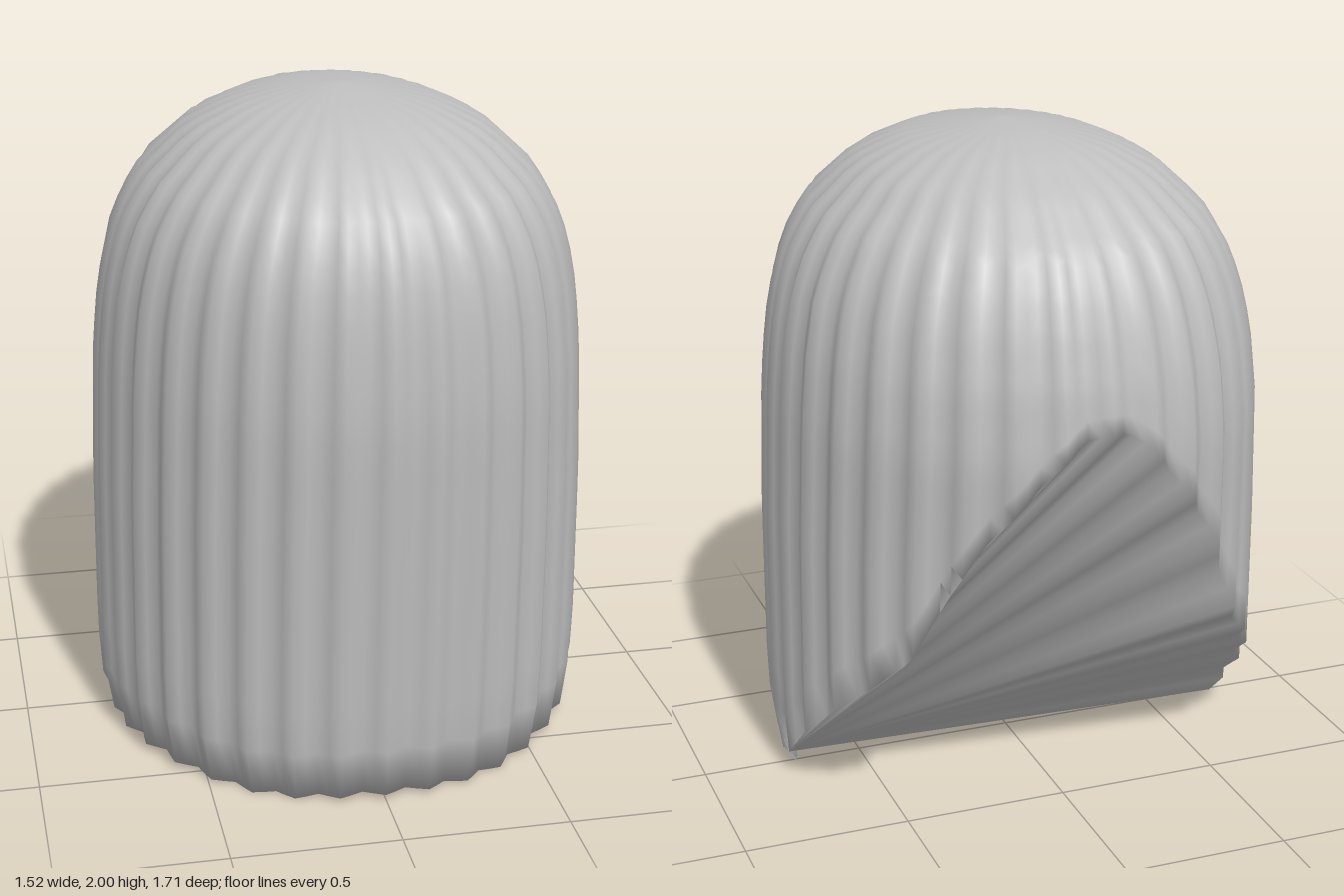
import * as THREE from 'three';

const RIBS = 34, COLS = RIBS * 4, ROWS = 26;

// Piecewise linear lookup in [input, output...] rows
function lookup(table, t, col = 1) {
  for (let i = 1; i < table.length; i++) {
    const a = table[i - 1], b = table[i];
    if (t <= b[0]) return a[col] + (b[col] - a[col]) * Math.max(0, (t - a[0]) / (b[0] - a[0]));
  }
  return table[table.length - 1][col];
}

// Dome profile: height, side radius, front reach, back reach
const profile = [
  [0, 0.725, 0.77, 0.77], [0.05, 0.75, 0.79, 0.79], [0.25, 0.762, 0.805, 0.805],
  [0.8, 0.757, 0.84, 0.835], [1.2, 0.742, 0.862, 0.862], [1.4, 0.722, 0.85, 0.84],
  [1.55, 0.69, 0.83, 0.80], [1.65, 0.65, 0.80, 0.76], [1.75, 0.59, 0.755, 0.70],
  [1.88, 0.45, 0.59, 0.52], [1.95, 0.30, 0.42, 0.35], [1.985, 0.14, 0.20, 0.18], [2, 0, 0.04, -0.04],
];

// Height of the lower rim, from the front (-1) to the back (1)
const rimHeights = [
  [-1, 0], [0.05, 0.015], [0.1, 0.08], [0.58, 0.41], [0.73, 0.56],
  [0.875, 0.92], [0.955, 1.1], [1, 1.26],
];

function domePoint(angle, y) {
  const s = Math.sin(angle), c = Math.cos(angle);
  const front = lookup(profile, y, 2), back = lookup(profile, y, 3);
  const mid = (front - back) / 2, rz = (front + back) / 2;
  const rx = lookup(profile, y, 1);
  // ribs, fading out at the crown
  const rib = 1 - 0.02 * (1 - Math.cos(angle * RIBS)) * Math.min(1, 0.3 + rx);
  return [rx * rib * s, y, mid + rz * rib * c];
}

function ribbedShell() {
  const positions = [0, 2, 0.04], index = [];
  const id = (row, col) => 1 + (row - 1) * COLS + (col % COLS);

  for (let row = 1; row <= ROWS; row++) {
    for (let col = 0; col < COLS; col++) {
      const angle = (col / COLS) * Math.PI * 2;
      const rim = lookup(rimHeights, -Math.cos(angle)) + 0.01 * (1 + Math.cos(angle * 6));
      const y = 2 - (2 - rim) * (row / ROWS) ** 2;
      positions.push(...domePoint(angle, y));
    }
  }

  // crown and walls
  for (let col = 0; col < COLS; col++) {
    index.push(0, id(1, col), id(1, col + 1));
    for (let row = 1; row < ROWS; row++) {
      const a = id(row, col), b = id(row + 1, col), c = id(row + 1, col + 1), d = id(row, col + 1);
      index.push(a, b, c, a, c, d);
    }
  }

  // underside, fanned from one corner of the rim
  const corner = Math.round(COLS * 0.268);
  for (let i = 1; i < COLS - 1; i++) {
    index.push(id(ROWS, corner), id(ROWS, corner + i + 1), id(ROWS, corner + i));
  }

  const geometry = new THREE.BufferGeometry();
  geometry.setAttribute('position', new THREE.Float32BufferAttribute(positions, 3));
  geometry.setIndex(index);
  geometry.computeVertexNormals();
  return geometry;
}

export function createModel() {
  const group = new THREE.Group();
  group.name = 'ribbedDome';
  const grey = new THREE.MeshStandardMaterial({ color: 0xbfbfbf });
  grey.name = 'grey';
  const shell = new THREE.Mesh(ribbedShell(), grey);
  shell.name = 'ribbedShell';
  group.add(shell);
  return group;
}
